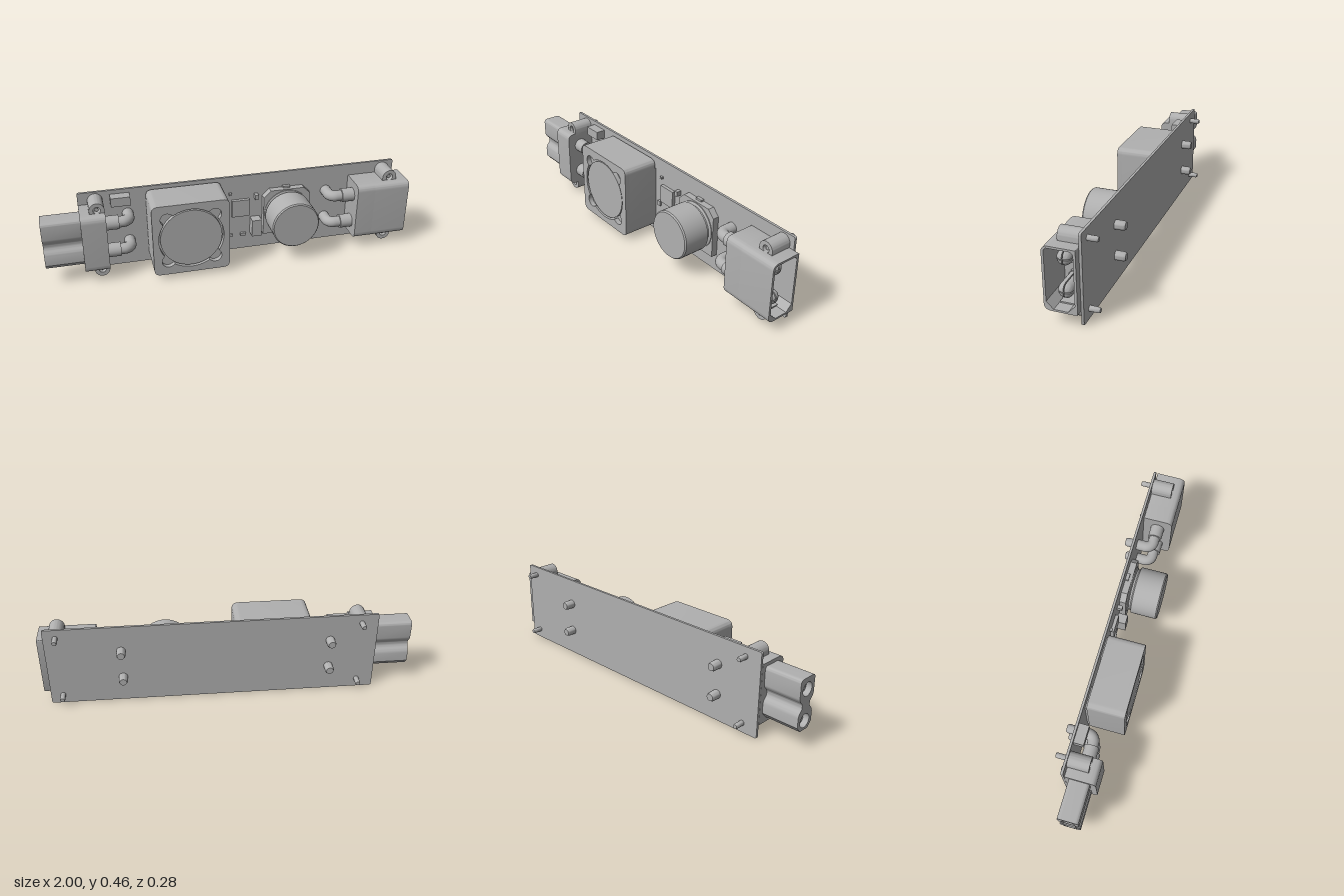
import * as THREE from 'three';
import { toCreasedNormals } from 'three/addons/utils/BufferGeometryUtils.js';

const grey = new THREE.MeshStandardMaterial({ color: 0xb0b0b0, side: THREE.DoubleSide });
grey.name = 'plain grey';

const BOARD_FRONT = -0.073;
const WIRE_Y = [0.314, 0.148];
const WIRE_Z = 0.01;

export function createModel() {
  const root = new THREE.Group();
  root.name = 'powerBoard';

  const add = (name, geo, parent = root) => {
    const mesh = new THREE.Mesh(geo, grey);
    mesh.name = name;
    parent.add(mesh);
    return mesh;
  };
  const box = (name, x0, x1, y0, y1, z0, z1) =>
    add(name, new THREE.BoxGeometry(x1 - x0, y1 - y0, z1 - z0)
      .translate((x0 + x1) / 2, (y0 + y1) / 2, (z0 + z1) / 2));
  // Extrusion along z, and along x (where the shape's horizontal axis is -z)
  const solid = (shape, depth) => toCreasedNormals(
    new THREE.ExtrudeGeometry(shape, { depth, bevelEnabled: false, curveSegments: 10 }), 0.6);
  const extrudeZ = (name, shape, z0, z1) => add(name, solid(shape, z1 - z0).translate(0, 0, z0));
  const extrudeX = (name, shape, x0, x1) =>
    add(name, solid(shape, x1 - x0).rotateY(Math.PI / 2).translate(x0, 0, 0));
  const cylX = (name, r, x0, x1, y, z) =>
    add(name, new THREE.CylinderGeometry(r, r, x1 - x0, 28).rotateZ(-Math.PI / 2)
      .translate((x0 + x1) / 2, y, z));
  // Lathe about z from [radius, z] pairs
  const latheZ = (name, pts, x, y, seg = 28) =>
    add(name, toCreasedNormals(new THREE.LatheGeometry(pts.map(p => new THREE.Vector2(...p)), seg), 0.6)
      .rotateX(Math.PI / 2).translate(x, y, 0));
  const poly = pts => new THREE.Shape(pts.map(p => new THREE.Vector2(...p)));
  const circle = (x, y, r) => new THREE.Path().absarc(x, y, r, 0, Math.PI * 2, true);
  // Rectangle with lower corners r and upper corners r
  const rounded = (x0, x1, y0, y1, r, rRight = r) => {
    const s = new THREE.Shape();
    s.moveTo(x0 + r, y0);
    s.lineTo(x1 - rRight, y0);
    s.quadraticCurveTo(x1, y0, x1, y0 + rRight);
    s.lineTo(x1, y1 - rRight);
    s.quadraticCurveTo(x1, y1, x1 - rRight, y1);
    s.lineTo(x0 + r, y1);
    s.quadraticCurveTo(x0, y1, x0, y1 - r);
    s.lineTo(x0, y0 + r);
    s.quadraticCurveTo(x0, y0, x0 + r, y0);
    return s;
  };

  // Circuit board
  extrudeZ('board', rounded(-0.8, 0.965, 0, 0.46, 0.01), -0.086, BOARD_FRONT);

  // Connector housings: rounded on the front, square against the board
  const section = () => rounded(-0.09, 0.072, 0.07, 0.394, 0.035, 0.004);
  extrudeX('plugFlange', section(), -0.8, -0.67);
  extrudeX('socketBase', section(), 0.7, 0.8);
  const shell = section();
  shell.holes.push(poly([[-0.078, 0.37], [-0.078, 0.115], [-0.043, 0.08], [0.027, 0.08],
    [0.06, 0.115], [0.06, 0.37], [0.048, 0.383], [-0.066, 0.383]]));
  extrudeX('socketShell', shell, 0.8, 1);

  // Raised webs on the socket floor
  for (const s of [-1, 1]) {
    const u = v => -0.01 + s * v;
    const web = new THREE.Shape();
    web.moveTo(u(0.06), 0.275);
    web.quadraticCurveTo(u(0.035), 0.25, u(0.013), 0.25);
    web.lineTo(u(0.013), 0.212);
    web.quadraticCurveTo(u(0.035), 0.212, u(0.06), 0.19);
    extrudeX('socketWeb', web, 0.798, 0.807);
  }

  // Socket pins: four domed quarters with a cross slot between them
  const pinProfile = [[0, 0], [0.034, 0], [0.034, 0.13], [0.031, 0.145], [0.022, 0.156], [0.01, 0.162], [0, 0.163]]
    .map(p => new THREE.Vector2(...p));
  for (const y of WIRE_Y) {
    cylX('pinCollar', 0.041, 0.79, 0.83, y, WIRE_Z);
    const pin = new THREE.Group();
    pin.name = 'slottedPin';
    for (let k = 0; k < 4; k++) {
      const quarter = new THREE.Group();
      quarter.name = 'pinQuarter';
      const parts = [
        toCreasedNormals(new THREE.LatheGeometry(pinProfile, 8, 0, Math.PI / 2), 0.6),
        new THREE.ShapeGeometry(new THREE.Shape(pinProfile)),
        new THREE.ShapeGeometry(new THREE.Shape(pinProfile)).rotateY(-Math.PI / 2),
      ];
      for (const g of parts) add('pinFace', g.translate(0.0025, 0, 0.0025), quarter);
      quarter.rotation.y = k * Math.PI / 2;
      pin.add(quarter);
    }
    pin.rotation.z = -Math.PI / 2;
    pin.position.set(0.8, y, WIRE_Z);
    root.add(pin);
  }

  // Plug: twin barrels joined at a narrow waist
  const c = -0.005;
  const plug = new THREE.Shape();
  plug.moveTo(c - 0.03, 0.099);
  plug.lineTo(c + 0.03, 0.099);
  plug.lineTo(c + 0.055, 0.128);
  plug.lineTo(c + 0.055, 0.18);
  plug.bezierCurveTo(c + 0.05, 0.21, c + 0.03, 0.205, c + 0.03, 0.231);
  plug.bezierCurveTo(c + 0.03, 0.257, c + 0.05, 0.252, c + 0.055, 0.282);
  plug.lineTo(c + 0.055, 0.356);
  plug.quadraticCurveTo(c + 0.055, 0.376, c + 0.035, 0.376);
  plug.lineTo(c - 0.035, 0.376);
  plug.quadraticCurveTo(c - 0.055, 0.376, c - 0.055, 0.356);
  plug.lineTo(c - 0.055, 0.282);
  plug.bezierCurveTo(c - 0.05, 0.252, c - 0.03, 0.257, c - 0.03, 0.231);
  plug.bezierCurveTo(c - 0.03, 0.205, c - 0.05, 0.21, c - 0.055, 0.18);
  plug.lineTo(c - 0.055, 0.128);
  for (const y of WIRE_Y) {
    plug.holes.push(circle(c, y, 0.036));
    const sleeve = new THREE.Shape().absarc(c, y, 0.034, 0, Math.PI * 2);
    sleeve.holes.push(circle(c, y, 0.027));
    extrudeX('contactSleeve', sleeve, -0.97, -0.8);
  }
  extrudeX('plugBarrels', plug, -1, -0.8);

  // Screw lugs with locating pegs, and bent terminals, on both connectors
  const ends = [
    { lugX: -0.71, wireX: -0.545, faceX: -0.67, dir: 1 },
    { lugX: 0.9, wireX: 0.57, faceX: 0.7, dir: -1 },
  ];
  for (const { lugX, wireX, faceX, dir } of ends) {
    for (const [y, s] of [[0.411, 1], [0.052, -1]]) {
      const lug = new THREE.Shape();
      lug.moveTo(lugX - 0.04, y - s * 0.035);
      lug.lineTo(lugX - 0.04, y);
      lug.absarc(lugX, y, 0.04, Math.PI, 0, s > 0);
      lug.lineTo(lugX + 0.04, y - s * 0.035);
      lug.holes.push(circle(lugX, y, 0.019));
      extrudeZ('screwLug', lug, BOARD_FRONT, 0.04);
      latheZ('locatingPeg', [[0, -0.14], [0.011, -0.14], [0.014, -0.132], [0.014, -0.08],
        [0.01, -0.07], [0.01, 0.03], [0, 0.03]], lugX, y, 20);
    }
    for (const y of WIRE_Y) {
      const collarEnd = faceX + dir * 0.068;
      cylX('terminalCollar', 0.038, Math.min(faceX, collarEnd), Math.max(faceX, collarEnd), y, WIRE_Z);
      const p = (x, z) => new THREE.Vector3(x, y, z);
      const bendX = wireX - dir * 0.036;
      const path = new THREE.CurvePath();
      path.add(new THREE.LineCurve3(p(faceX, WIRE_Z), p(bendX, WIRE_Z)));
      path.add(new THREE.CubicBezierCurve3(p(bendX, WIRE_Z), p(bendX + dir * 0.02, WIRE_Z),
        p(wireX, WIRE_Z - 0.016), p(wireX, WIRE_Z - 0.036)));
      path.add(new THREE.LineCurve3(p(wireX, WIRE_Z - 0.036), p(wireX, -0.08)));
      add('bentTerminal', new THREE.TubeGeometry(path, 32, 0.03, 18));
      latheZ('solderPin', [[0, -0.14], [0.019, -0.14], [0.024, -0.128], [0.024, -0.07], [0, -0.07]], wireX, y);
    }
  }

  // Inductor: block with a lobed recess holding a round core
  const ix = -0.24, iy = 0.237;
  const block = () => rounded(ix - 0.205, ix + 0.205, iy - 0.207, iy + 0.207, 0.035);
  extrudeZ('inductorBody', block(), -0.062, 0.112);
  const rim = block();
  const lobed = [];
  for (let i = 0; i < 144; i++) {
    const a = i / 144 * Math.PI * 2;
    const d = (a % (Math.PI / 2)) - Math.PI / 4;
    const q = 0.036 ** 2 - (0.178 * Math.sin(d)) ** 2;
    const r = Math.max(0.174, q > 0 ? 0.178 * Math.cos(d) + Math.sqrt(q) : 0);
    lobed.push(new THREE.Vector2(ix + r * Math.cos(a), iy + r * Math.sin(a)));
  }
  rim.holes.push(new THREE.Path(lobed));
  extrudeZ('inductorRim', rim, 0.112, 0.138);
  latheZ('inductorCore', [[0.165, 0.11], [0.165, 0.134], [0, 0.134]], ix, iy, 56);
  box('inductorPad', -0.44, -0.32, 0.08, 0.39, BOARD_FRONT, -0.06);
  box('inductorPad', -0.16, -0.04, 0.08, 0.39, BOARD_FRONT, -0.06);

  // Capacitor: necked can on a base with two cut corners
  const cx = 0.335, cy = 0.231;
  extrudeZ('capacitorBase', poly([[-0.134, -0.134], [0.134, -0.134], [0.134, 0.095], [0.095, 0.134],
    [-0.095, 0.134], [-0.134, 0.095]].map(([x, y]) => [cx + x, cy + y])), BOARD_FRONT, -0.038);
  latheZ('capacitorCan', [[0.128, -0.04], [0.128, -0.034], [0.115, -0.028], [0.115, -0.018], [0.131, -0.01],
    [0.131, 0.131], [0.125, 0.138], [0, 0.138]], cx, cy, 48);
  for (const s of [-1, 1]) {
    box('capacitorLead', cx - 0.02, cx + 0.02, cy + s * 0.135 - 0.01, cy + s * 0.135 + 0.01, BOARD_FRONT, -0.055);
  }

  // Small surface parts: x0, x1, y0, y1, front z
  const chips = [
    [-0.633, -0.53, 0.387, 0.437, -0.02], [0.025, 0.125, 0.217, 0.318, -0.055],
    [0.132, 0.186, 0.1, 0.2, -0.02], [0.01, 0.026, 0.353, 0.365, -0.06],
    [0.154, 0.174, 0.317, 0.345, -0.045], [-0.008, 0.012, 0.178, 0.207, -0.06],
    [0, 0.03, 0.088, 0.104, -0.06], [0.076, 0.106, 0.088, 0.104, -0.06],
  ];
  for (const [x0, x1, y0, y1, z] of chips) box('chip', x0, x1, y0, y1, BOARD_FRONT, z);

  return root;
}
